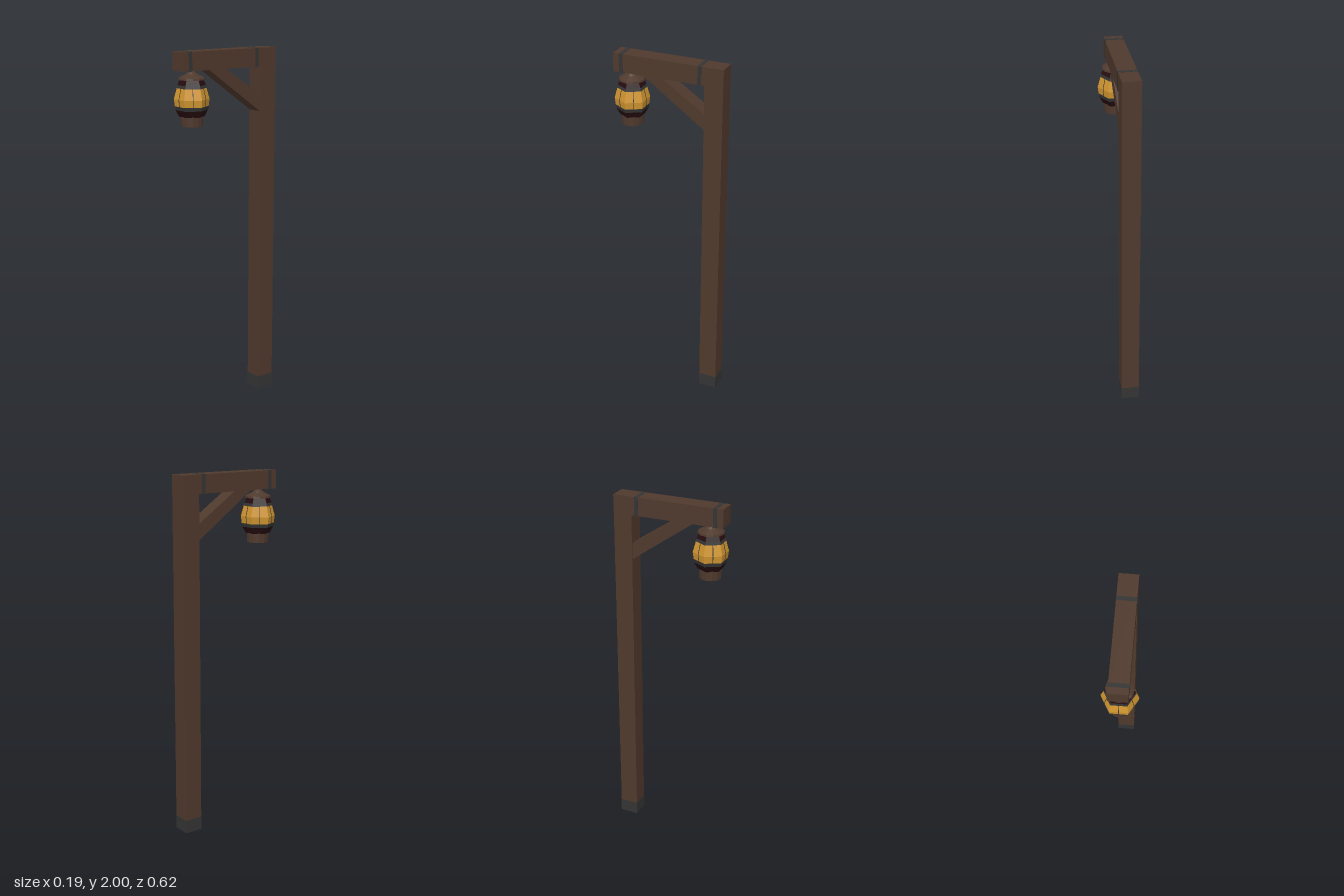
import * as THREE from 'three';

const mat = (name, color) => {
  const m = new THREE.MeshStandardMaterial({ color, flatShading: true });
  m.name = name;
  return m;
};

export function createModel() {
  const wood = mat('brown wood', 0x4f392d);
  const iron = mat('dark iron', 0x343434);
  const frame = mat('dark maroon', 0x260d10);
  const glass = mat('amber glass', 0xd09530);
  const model = new THREE.Group();

  const add = (parent, name, geometry, material, x = 0, y = 0, z = 0) => {
    const mesh = new THREE.Mesh(geometry, material);
    mesh.name = name;
    mesh.position.set(x, y, z);
    parent.add(mesh);
    return mesh;
  };
  const box = (name, material, w, h, d, y, z) =>
    add(model, name, new THREE.BoxGeometry(w, h, d), material, -0.003, y, z);

  // Timber post, iron foot and overhanging beam
  box('post', wood, 0.1, 1.825, 0.103, 0.9875, -0.2575);
  box('foot', iron, 0.102, 0.075, 0.105, 0.0375, -0.2575);
  box('beam', wood, 0.1, 0.1, 0.62, 1.949, 0);

  // Iron straps around the beam
  for (const z of [-0.178, 0.265]) box('strap', iron, 0.103, 0.103, 0.021, 1.9485, z);

  // Diagonal brace: side outline drawn in z and y, extruded across x
  const outline = new THREE.Shape([[0.145, 1.902], [0.035, 1.902], [-0.21, 1.738], [-0.21, 1.649]]
    .map(([z, y]) => new THREE.Vector2(-z, y)));
  const brace = new THREE.ExtrudeGeometry(outline, { depth: 0.09, bevelEnabled: false });
  brace.translate(0, 0, -0.045).rotateY(Math.PI / 2);
  add(model, 'brace', brace, wood, -0.003);

  // Hanging lantern
  const lantern = new THREE.Group();
  lantern.name = 'lantern';
  lantern.position.set(-0.001, 0, 0.225);
  model.add(lantern);
  const ring = (name, material, y0, r0, y1, r1, sides = 6) =>
    add(lantern, name, new THREE.CylinderGeometry(r1, r0, y1 - y0, sides, 1, false, Math.PI / 6),
      material, 0, (y0 + y1) / 2, 0);

  ring('base', wood, 1.604, 0.059, 1.658, 0.061, 12);
  ring('lowerFrame', frame, 1.655, 0.068, 1.69, 0.087);
  ring('lowerBand', iron, 1.69, 0.087, 1.71, 0.092);
  ring('lowerGlass', glass, 1.71, 0.09, 1.748, 0.095);
  ring('upperGlass', glass, 1.748, 0.095, 1.806, 0.079);
  ring('upperBand', iron, 1.806, 0.081, 1.822, 0.076);
  ring('upperFrame', frame, 1.822, 0.076, 1.85, 0.064);
  ring('capRim', wood, 1.85, 0.072, 1.86, 0.07, 12);
  ring('cap', wood, 1.86, 0.07, 1.878, 0.035, 12);
  ring('capTip', wood, 1.878, 0.035, 1.9, 0.008, 12);

  // Thin glazing bars down the middle of each pane
  const flat = Math.cos(Math.PI / 6);
  const bars = [[1.71, 0.09, 1.748, 0.095], [1.748, 0.095, 1.806, 0.079]];
  for (let i = 0; i < 6; i++) {
    const side = new THREE.Group();
    side.name = 'glazingBar';
    side.rotation.y = i * Math.PI / 3;
    lantern.add(side);
    for (const [y0, r0, y1, r1] of bars) {
      const length = Math.hypot(y1 - y0, (r1 - r0) * flat);
      const bar = add(side, 'bar', new THREE.BoxGeometry(0.003, length, 0.003), iron,
        0, (y0 + y1) / 2, flat * (r0 + r1) / 2);
      bar.rotation.x = Math.atan2((r1 - r0) * flat, y1 - y0);
    }
  }
  return model;
}
